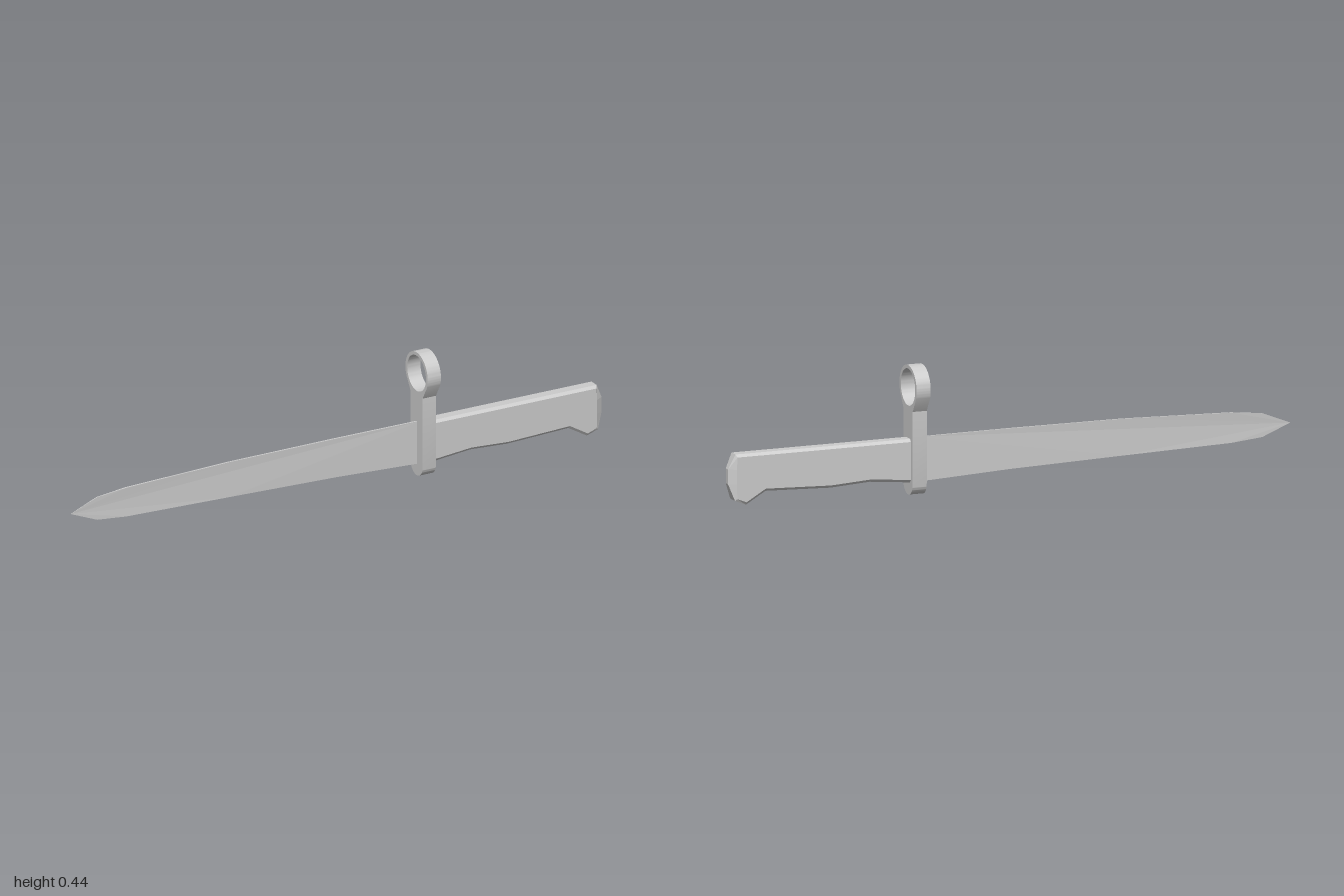
import * as THREE from 'three';
import { toCreasedNormals } from 'three/addons/utils/BufferGeometryUtils.js';

const smooth = new THREE.MeshStandardMaterial({ color: 0xcccccc });
const faceted = new THREE.MeshStandardMaterial({ color: 0xcccccc, flatShading: true });

function part(name, geometry, material) {
  const mesh = new THREE.Mesh(geometry, material);
  mesh.name = name;
  return mesh;
}

// Thin flat blade whose thickness fades out at the point
function bladeGeometry() {
  const outline = [
    [-1, 0.126], [-0.9, 0.086], [-0.79, 0.076], [-0.4, 0.066], [0, 0.055], [0.33, 0.04],
    [0.33, 0.191], [0, 0.192], [-0.4, 0.19], [-0.79, 0.178], [-0.9, 0.166],
  ].map(([x, y]) => new THREE.Vector2(x, y));
  const half = 0.003;
  const g = new THREE.ExtrudeGeometry(new THREE.Shape(outline), { depth: 2 * half, bevelEnabled: false });
  g.translate(0, 0, -half);
  const p = g.attributes.position;
  for (let i = 0; i < p.count; i++) {
    p.setZ(i, p.getZ(i) * THREE.MathUtils.clamp((p.getX(i) + 1.02) / 0.2, 0.1, 1));
  }
  return g;
}

// Crossguard plate with a round foot and a muzzle ring, drawn in z-y and extruded along x
function guardGeometry() {
  const w = 0.04, cy = 0.361, r = 0.074, a = -0.43, depth = 0.05;
  const s = new THREE.Shape();
  s.moveTo(-w, w);
  s.absarc(0, w, w, Math.PI, 2 * Math.PI, false);
  s.lineTo(w, 0.285);
  s.absarc(0, cy, r, a, Math.PI - a, false);
  s.lineTo(-w, 0.285);
  s.closePath();
  s.holes.push(new THREE.Path().absarc(0, cy, 0.062, 0, 2 * Math.PI, true));
  const g = new THREE.ExtrudeGeometry(s, { depth, bevelEnabled: false, curveSegments: 32 });
  g.rotateY(Math.PI / 2).translate(0.307, 0, 0);
  return toCreasedNormals(g, 0.5);
}

// Grip and pommel: flat sides joined to a narrower rim by chamfers
function handleGeometry() {
  // rim x, rim y, rim half width, side x, side y (counterclockwise)
  const stations = [
    [0.34, 0.042, 0.017, 0.34, 0.052],
    [0.50, 0.058, 0.017, 0.50, 0.067],
    [0.64, 0.050, 0.017, 0.64, 0.059],
    [0.87, 0.059, 0.017, 0.872, 0.068],
    [0.94, 0.018, 0.017, 0.94, 0.028],
    [0.98, 0.035, 0.021, 0.973, 0.041],
    [1.00, 0.090, 0.010, 0.975, 0.090],
    [1.00, 0.140, 0.010, 0.975, 0.140],
    [0.977, 0.190, 0.017, 0.972, 0.181],
    [0.34, 0.190, 0.017, 0.34, 0.181],
  ];
  const n = stations.length, side = 0.025, position = [], index = [];
  const loops = [
    ([, , , x, y]) => [x, y, side],
    ([x, y, w]) => [x, y, w],
    ([x, y, w]) => [x, y, -w],
    ([, , , x, y]) => [x, y, -side],
  ];
  loops.forEach((loop) => stations.forEach((s) => position.push(...loop(s))));
  for (let k = 0; k < 3; k++) {
    for (let i = 0; i < n; i++) {
      const j = (i + 1) % n, a = k * n, b = a + n;
      index.push(a + i, b + i, b + j, a + i, b + j, a + j);
    }
  }
  // Flat sides
  const contour = stations.map((s) => new THREE.Vector2(s[3], s[4]));
  for (const [a, b, c] of THREE.ShapeUtils.triangulateShape(contour, [])) {
    index.push(a, b, c, 3 * n + a, 3 * n + c, 3 * n + b);
  }
  const g = new THREE.BufferGeometry();
  g.setAttribute('position', new THREE.Float32BufferAttribute(position, 3));
  g.setIndex(index);
  const flat = g.toNonIndexed();
  flat.computeVertexNormals();
  return flat;
}

export function createModel() {
  const model = new THREE.Group();
  model.name = 'bayonet';
  model.add(
    part('blade', bladeGeometry(), faceted),
    part('guardWithRing', guardGeometry(), smooth),
    part('handle', handleGeometry(), faceted),
  );
  return model;
}
